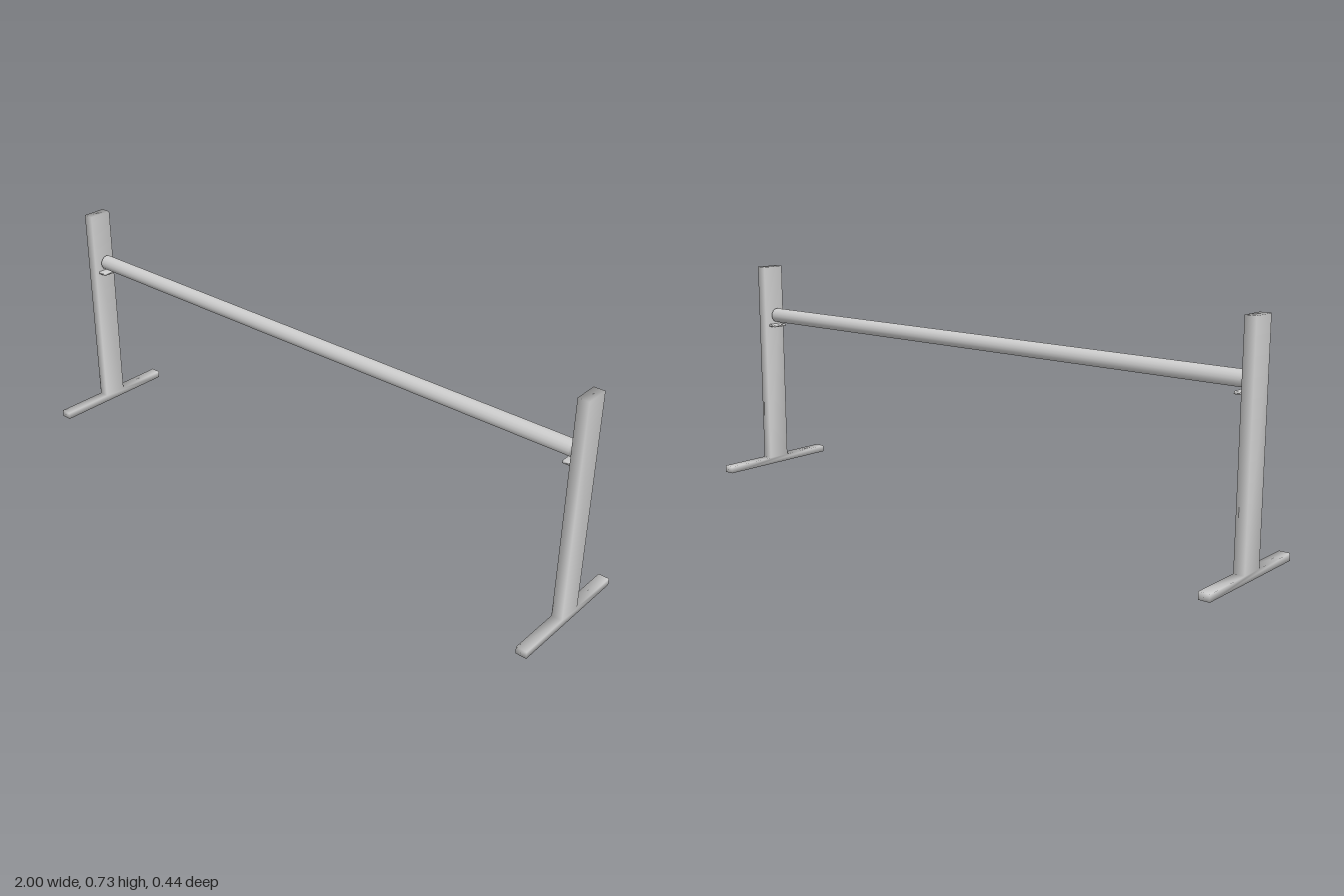
import * as THREE from 'three';
import { mergeVertices } from 'three/addons/utils/BufferGeometryUtils.js';

// Weld corners so that the shading runs smoothly round the edges
function soften(geometry) {
  geometry.deleteAttribute('uv');
  geometry.deleteAttribute('normal');
  const welded = mergeVertices(geometry, 1e-4);
  welded.computeVertexNormals();
  return welded;
}

export function createModel() {
  const model = new THREE.Group();
  const grey = new THREE.MeshStandardMaterial({ color: 0xcccccc });
  grey.name = 'light grey';

  const add = (parent, name, geometry, x, y, z) => {
    const mesh = new THREE.Mesh(geometry, grey);
    mesh.name = name;
    mesh.position.set(x, y, z);
    parent.add(mesh);
    return mesh;
  };

  // Upright and foot share one inverted T outline
  const half = [[0.22, 0], [0.22, 0.023], [0.04, 0.023], [0.04, 0.728]];
  const outline = [
    ...half,
    ...half.slice().reverse().map(([z, y]) => [-z, y]),
  ].map(([z, y]) => new THREE.Vector2(z, y));
  const thickness = 0.035;
  const standGeometry = new THREE.ExtrudeGeometry(new THREE.Shape(outline), {
    depth: thickness,
    bevelEnabled: false,
  });
  standGeometry.translate(0, 0, -thickness / 2);
  standGeometry.rotateY(Math.PI / 2);
  const stand = soften(standGeometry);
  const cup = soften(new THREE.BoxGeometry(0.032, 0.008, 0.05));

  for (const [side, label] of [[1, 'left'], [-1, 'right']]) {
    const group = new THREE.Group();
    group.name = label + 'Stand';
    add(group, label + 'UprightAndFoot', stand, side * 0.9825, 0, 0);
    // Small ledge under the end of the pole
    add(group, label + 'PoleCup', cup, side * 0.951, 0.516, 0);
    model.add(group);
  }

  // Horizontal pole
  const pole = new THREE.CylinderGeometry(0.025, 0.025, 1.9, 16);
  pole.rotateZ(Math.PI / 2);
  add(model, 'crossPole', soften(pole), 0, 0.553, 0);

  return model;
}
